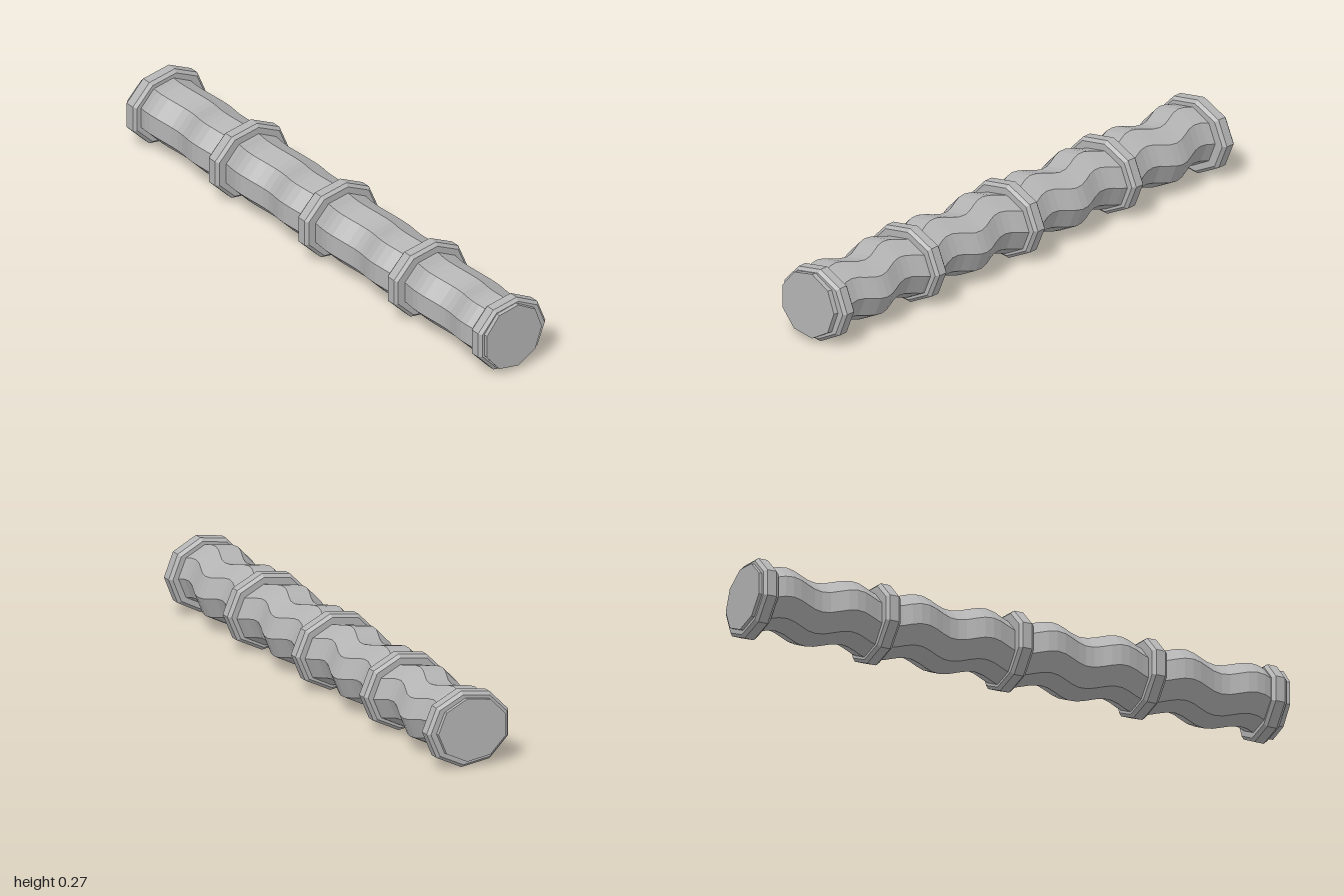
import * as THREE from 'three';

const SIDES = 9;

// Closed loft of nine-sided elliptical sections; each station is [z, cx, cy, rx, ry], z rising.
function loft(name, stations, material) {
  const pos = [], index = [];
  for (const [z, cx, cy, rx, ry] of stations) {
    for (let i = 0; i < SIDES; i++) {
      const a = (i / SIDES) * Math.PI * 2;
      pos.push(cx + rx * Math.cos(a), cy + ry * Math.sin(a), z);
    }
  }
  const last = (stations.length - 1) * SIDES;
  for (let s = 0; s < last; s += SIDES) {
    for (let i = 0; i < SIDES; i++) {
      const j = (i + 1) % SIDES;
      index.push(s + i, s + j, s + SIDES + i, s + j, s + SIDES + j, s + SIDES + i);
    }
  }
  for (let i = 1; i < SIDES - 1; i++) {
    index.push(0, i + 1, i, last, last + i, last + i + 1);
  }
  const geometry = new THREE.BufferGeometry();
  geometry.setAttribute('position', new THREE.Float32BufferAttribute(pos, 3));
  geometry.setIndex(index);
  geometry.computeVertexNormals();
  const mesh = new THREE.Mesh(geometry, material);
  mesh.name = name;
  return mesh;
}

export function createModel() {
  const group = new THREE.Group();
  group.name = 'segmentedTube';
  const gray = new THREE.MeshStandardMaterial({ color: 0xb4b4b4, flatShading: true });
  gray.name = 'gray';

  // Wavy body: the centre line sways diagonally, two waves between rings
  const body = [];
  const steps = 64;
  for (let i = 0; i <= steps; i++) {
    const z = -0.96 + (1.92 * i) / steps;
    const sway = Math.cos((z / 0.25) * Math.PI * 2);
    body.push([z, -0.01 + 0.014 * sway, 0.138 - 0.01 * sway, 0.124, 0.109]);
  }
  group.add(loft('body', body, gray));

  // Bevelled rings
  const rings = [
    [-0.96, 0.16, 0.137], [-0.5, 0.16, 0.137], [0, 0.16, 0.137],
    [0.5, 0.16, 0.137], [0.955, 0.147, 0.134],
  ];
  rings.forEach(([z, rx, ry], i) => {
    const profile = [[-0.028, 0.011], [-0.017, 0], [0.017, 0], [0.028, 0.011]];
    group.add(loft('ring' + (i + 1),
      profile.map(([dz, inset]) => [z + dz, -0.005, 0.138, rx - inset, ry - inset]), gray));
  });

  // End stubs
  group.add(loft('frontEnd', [[0.95, -0.006, 0.137, 0.122, 0.119], [1, -0.014, 0.139, 0.12, 0.12]], gray));
  group.add(loft('backEnd', [[-1, -0.011, 0.138, 0.132, 0.113], [-0.95, -0.006, 0.137, 0.134, 0.114]], gray));

  return group;
}
